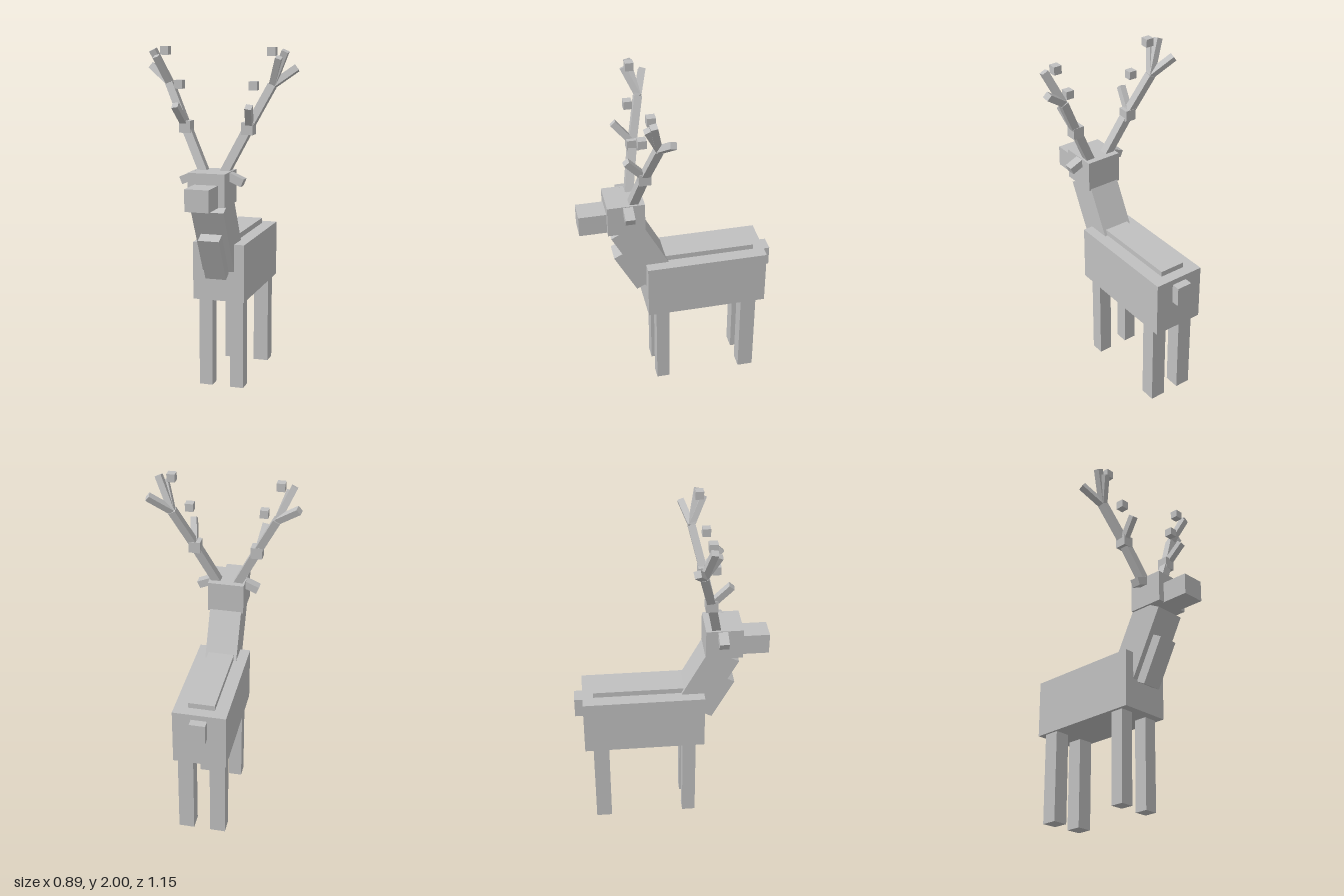
import * as THREE from 'three';

export function createModel() {
  const model = new THREE.Group();
  model.name = 'stag';
  const grey = new THREE.MeshStandardMaterial({ color: 0xc0c0c0 });
  grey.name = 'grey';

  // box from size and centre
  function box(name, size, centre, parent = model) {
    const mesh = new THREE.Mesh(new THREE.BoxGeometry(...size), grey);
    mesh.name = name;
    mesh.position.set(...centre);
    parent.add(mesh);
    return mesh;
  }

  // square beam between two points
  function beam(name, from, to, thick, parent) {
    const a = new THREE.Vector3(...from);
    const b = new THREE.Vector3(...to);
    const dir = b.clone().sub(a);
    const mid = a.clone().add(b).multiplyScalar(0.5);
    const mesh = box(name, [thick, dir.length(), thick], mid.toArray(), parent);
    mesh.quaternion.setFromUnitVectors(new THREE.Vector3(0, 1, 0), dir.normalize());
    return mesh;
  }

  // torso
  box('body', [0.31, 0.34, 0.72], [0, 0.71, -0.165]);
  box('backPlate', [0.155, 0.04, 0.535], [0, 0.892, -0.193]);
  box('tail', [0.094, 0.12, 0.06], [0, 0.787, -0.544]);

  // sloping neck and chest tuft
  const lean = 0.483;
  box('neck', [0.19, 0.45, 0.195], [0, 0.945, 0.204]).rotation.x = lean;
  box('chestTuft', [0.124, 0.282, 0.08], [0, 0.825, 0.277]).rotation.x = lean;

  // head
  box('head', [0.216, 0.186, 0.216], [0, 1.226, 0.305]);
  box('muzzle', [0.138, 0.124, 0.17], [0, 1.193, 0.488]);

  for (const s of [1, -1]) {
    const side = s > 0 ? 'left' : 'right';

    // legs
    box(side + 'FrontLeg', [0.08, 0.56, 0.08], [s * 0.095, 0.28, 0.105]);
    box(side + 'BackLeg', [0.092, 0.56, 0.094], [s * 0.095, 0.28, -0.428]);

    // drooping ear
    box(side + 'Ear', [0.1, 0.046, 0.056], [s * 0.134, 1.279, 0.294]).rotation.z = -s * 0.4;

    // antler: two beams, a joint, tines and loose cubes
    const antler = new THREE.Group();
    antler.name = side + 'Antler';
    model.add(antler);
    const at = (x, y, z) => [s * x, y, z];
    const joint = at(0.183, 1.553, 0.212);
    const fork = at(0.302, 1.79, 0.152);
    beam('lowerBeam', at(0.06, 1.305, 0.262), joint, 0.05, antler);
    box('antlerJoint', [0.068, 0.068, 0.068], joint, antler);
    beam('upperBeam', joint, fork, 0.045, antler);
    beam('frontTine', at(0.19, 1.565, 0.215), at(0.213, 1.68, 0.315), 0.038, antler);
    beam('outerTine', fork, at(0.43, 1.885, 0.102), 0.038, antler);
    beam('middleTine', fork, at(0.387, 1.98, 0.195), 0.038, antler);
    beam('innerTine', fork, at(0.357, 1.945, 0.225), 0.035, antler);
    box('upperCube', [0.048, 0.048, 0.048], at(0.312, 1.976, 0.196), antler);
    box('lowerCube', [0.048, 0.048, 0.048], at(0.217, 1.79, 0.228), antler);
  }
  return model;
}
